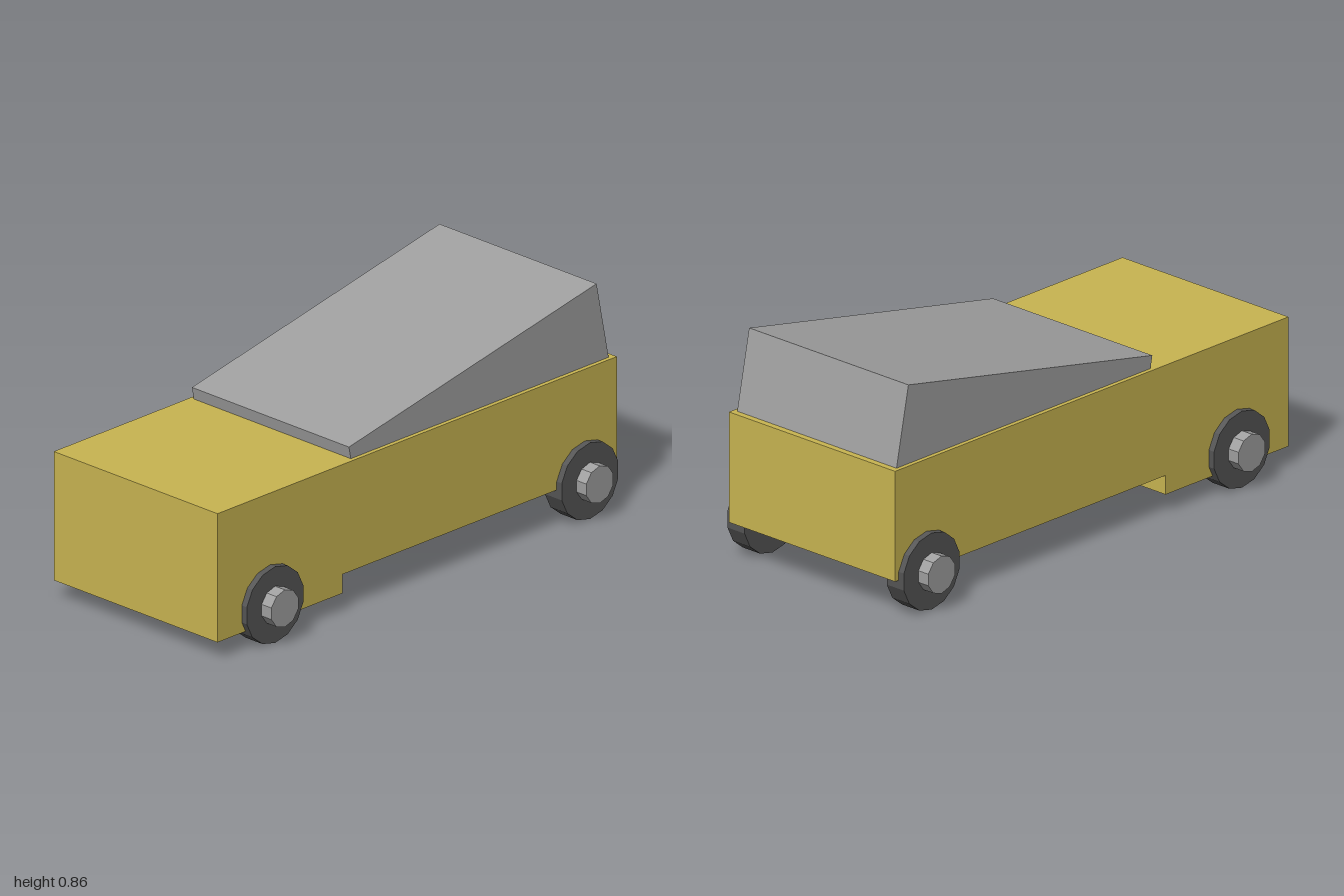
import * as THREE from 'three';

const paint = (name, color) => {
  const m = new THREE.MeshStandardMaterial({ color });
  m.name = name;
  return m;
};

// Side profile given as [z, y] points, extruded across x and centred
function sideExtrude(name, points, width, material) {
  const shape = new THREE.Shape(points.map(([z, y]) => new THREE.Vector2(-z, y)));
  const geo = new THREE.ExtrudeGeometry(shape, { depth: width, bevelEnabled: false });
  geo.translate(0, 0, -width / 2);
  geo.rotateY(Math.PI / 2);
  const mesh = new THREE.Mesh(geo, material);
  mesh.name = name;
  return mesh;
}

// Faceted disc with its axis along x and a corner at the top
function disc(name, radius, x0, x1, sides, material) {
  const geo = new THREE.CylinderGeometry(radius, radius, x1 - x0, sides, 1, false, Math.PI / 2)
    .toNonIndexed();
  geo.rotateZ(Math.PI / 2);
  geo.computeVertexNormals();
  const mesh = new THREE.Mesh(geo, material);
  mesh.position.x = (x0 + x1) / 2;
  mesh.name = name;
  return mesh;
}

export function createModel() {
  const yellow = paint('yellow body', 0xc9b551);
  const grey = paint('light grey', 0xa0a0a0);
  const rubber = paint('dark grey tyre', 0x555555);
  const car = new THREE.Group();
  car.name = 'car';

  // Body with a deeper front section
  car.add(sideExtrude('body', [
    [1, 0.073], [1, 0.563], [-1, 0.563], [-1, 0.145], [0.375, 0.145], [0.375, 0.073],
  ], 0.806, yellow));

  // Wedge cabin: a tilted box sunk into the body
  car.add(sideExtrude('cabin', [
    [0.314, 0.555], [0.325, 0.61], [-0.915, 0.861], [-0.977, 0.555],
  ], 0.773, grey));

  // Four wheels, each a tyre with a protruding hub
  for (const z of [0.737, -0.84]) {
    for (const side of [1, -1]) {
      const wheel = new THREE.Group();
      wheel.name = (z > 0 ? 'front' : 'rear') + (side > 0 ? 'Left' : 'Right') + 'Wheel';
      wheel.add(disc('tyre', 0.145, 0.345, 0.428, 14, rubber));
      wheel.add(disc('hub', 0.071, 0.41, 0.476, 10, grey));
      wheel.position.set(0, 0.145, z);
      if (side < 0) wheel.rotation.y = Math.PI;
      car.add(wheel);
    }
  }
  return car;
}
